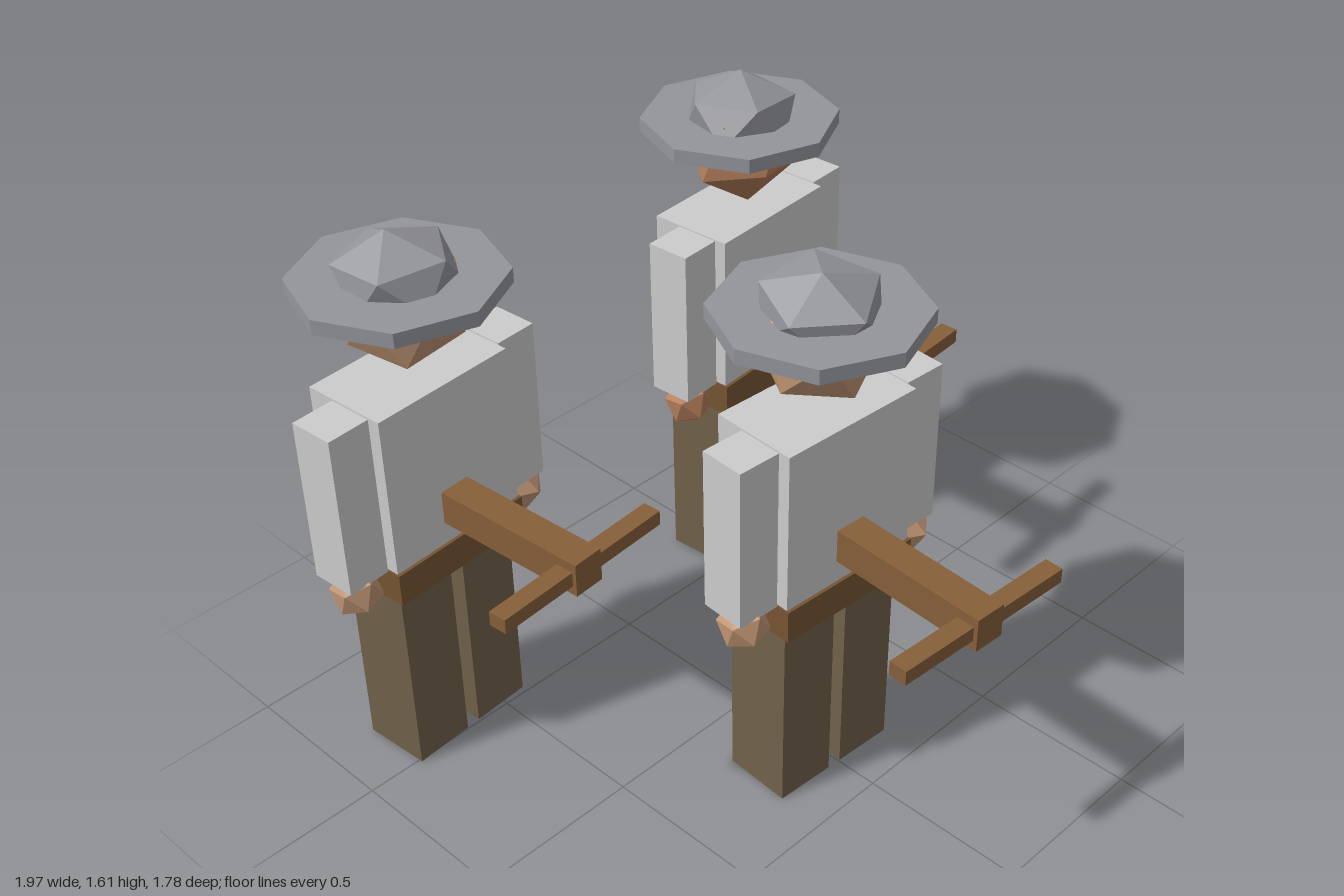
import * as THREE from 'three';

const mat = (color) => new THREE.MeshStandardMaterial({ color, flatShading: true });

function add(parent, name, geometry, material, x, y, z) {
  const mesh = new THREE.Mesh(geometry, material);
  mesh.name = name;
  mesh.position.set(x, y, z);
  parent.add(mesh);
  return mesh;
}

// Faceted stone-like ball: a tilted icosahedron, optionally squashed in height
function facetBall(radius, tilt, squash = 1) {
  const g = new THREE.IcosahedronGeometry(radius, 0);
  g.rotateZ(Math.atan(2 / (1 + Math.sqrt(5)))+ tilt[2]); // about a corner pointing up
  g.rotateY(tilt[1]);
  g.rotateX(tilt[0]);
  g.scale(1, squash, 1);
  return g;
}

function createFigure({ skin, headTilt, crownTilt }) {
  const shirt = mat(0xcccccc), trousers = mat(0x70614a), leather = mat(0x765433);
  const wood = mat(0x865f3a), metal = mat(0x94959b), flesh = mat(skin);
  const box = (w, h, d) => new THREE.BoxGeometry(w, h, d);
  const figure = new THREE.Group();

  // Body
  add(figure, 'torso', box(0.45, 0.5, 0.26), shirt, 0, 0.953, 0);
  add(figure, 'belt', box(0.46, 0.1, 0.28), leather, 0, 0.666, 0);

  // Limbs, mirrored
  for (const s of [-1, 1]) {
    const side = s > 0 ? 'left' : 'right';
    add(figure, side + 'Leg', box(0.183, 0.62, 0.207), trousers, s * 0.1135, 0.31, 0);
    add(figure, side + 'Arm', box(0.13, 0.49, 0.135), shirt, s * 0.295, 0.958, 0.03);
    add(figure, side + 'Hand', facetBall(0.073, [0.3 * s, 0.5, 0.2]), flesh, s * 0.305, 0.67, 0.05);
  }

  // Head and wide-brimmed hat
  add(figure, 'head', facetBall(0.178, headTilt), flesh, 0, 1.4, 0);
  add(figure, 'hatBrim', new THREE.CylinderGeometry(0.289, 0.289, 0.043, 8), metal, 0, 1.465, 0);
  add(figure, 'hatCrown', facetBall(0.177, crownTilt, 0.7), metal, 0, 1.49, 0);

  // Crossbow held out in front
  const crossbow = new THREE.Group();
  crossbow.name = 'crossbow';
  add(crossbow, 'stock', box(0.094, 0.1, 0.52), wood, 0, 0.834, 0.357);
  add(crossbow, 'bow', box(0.577, 0.044, 0.055), wood, 0, 0.834, 0.577);
  figure.add(crossbow);
  return figure;
}

export function createModel() {
  const group = new THREE.Group();
  const figures = [
    { name: 'frontFigure', x: -0.011, z: 0.265, turn: -0.06, skin: 0xc09472,
      headTilt: [0.2, 0.9, 0.15], crownTilt: [0.15, 0.3, 0.2] },
    { name: 'backRightFigure', x: -0.632, z: -0.609, turn: 0.075, skin: 0xbc9272,
      headTilt: [0.1, 0.2, 0.2], crownTilt: [-0.15, 0.6, 0.1] },
    { name: 'backLeftFigure', x: 0.612, z: -0.609, turn: 0.075, skin: 0xb07a58,
      headTilt: [-0.2, 0.5, -0.1], crownTilt: [0.1, 1.0, -0.2] },
  ];
  for (const f of figures) {
    const figure = createFigure(f);
    figure.name = f.name;
    figure.position.set(f.x, 0, f.z);
    figure.rotation.y = f.turn;
    group.add(figure);
  }
  return group;
}
